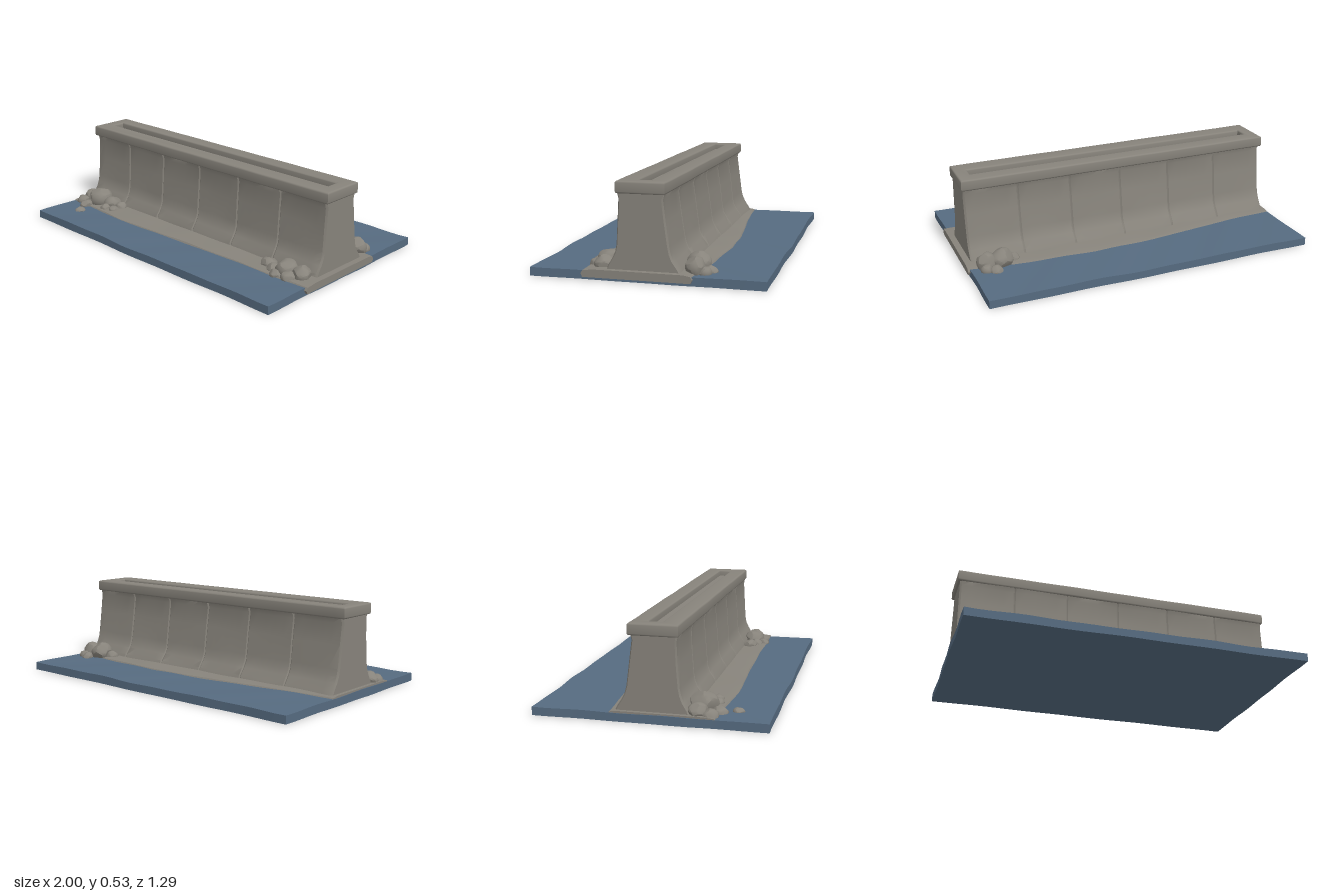
import * as THREE from 'three';
import { toCreasedNormals, mergeVertices } from 'three/addons/utils/BufferGeometryUtils.js';

const stone = new THREE.MeshStandardMaterial({ color: 0x87837b });
stone.name = 'stone';
const water = new THREE.MeshStandardMaterial({ color: 0x566b80 });
water.name = 'water';

// Gentle hand-worn unevenness
const wobble = (x, k) => Math.sin(x * 7.3 + k * 2.1) * 0.5 + Math.sin(x * 17.1 + k * 4.7) * 0.5;

function addMesh(parent, name, geometry, material) {
  const mesh = new THREE.Mesh(geometry, material);
  mesh.name = name;
  parent.add(mesh);
  return mesh;
}

// Skin rings of [z, y] points placed along x, closing both ends
function loft(xs, ringAt, crease) {
  const positions = [];
  const rings = xs.map((x, i) => ringAt(x, i).map(([z, y]) => [x, y, z]));
  const n = rings[0].length;
  const tri = (a, b, c) => positions.push(...a, ...b, ...c);
  const middle = (ring) => [0, 1, 2].map((k) => ring.reduce((s, p) => s + p[k], 0) / n);
  const first = rings[0], last = rings[rings.length - 1];
  const m0 = middle(first), m1 = middle(last);
  for (let j = 0; j < n; j++) {
    const k = (j + 1) % n;
    for (let i = 0; i < rings.length - 1; i++) {
      const a = rings[i], b = rings[i + 1];
      tri(a[j], b[j], b[k]);
      tri(a[j], b[k], a[k]);
    }
    tri(m0, first[j], first[k]);
    tri(m1, last[k], last[j]);
  }
  const g = new THREE.BufferGeometry();
  g.setAttribute('position', new THREE.Float32BufferAttribute(positions, 3));
  return toCreasedNormals(g, crease);
}

// Read a value from evenly spaced samples across x = -1..1
function sample(values, x) {
  const t = THREE.MathUtils.clamp((x + 1) / 2, 0, 1) * (values.length - 1);
  const i = Math.min(Math.floor(t), values.length - 2);
  return THREE.MathUtils.lerp(values[i], values[i + 1], t - i);
}

function waterGeometry() {
  const g = new THREE.BoxGeometry(1.98, 0.046, 1.28, 28, 1, 18);
  g.translate(-0.003, 0.023, 0);
  const p = g.attributes.position;
  for (let i = 0; i < p.count; i++) {
    const x = p.getX(i), y = p.getY(i), z = p.getZ(i);
    if (y > 0.02) p.setY(i, y + 0.003 * wobble(x + z * 0.8, 1) + 0.004 * Math.abs(x * z));
    if (Math.abs(z) > 0.6) p.setZ(i, z + 0.005 * wobble(x * 0.7, z));
    if (Math.abs(x) > 0.95) p.setX(i, x + 0.004 * wobble(z, x));
  }
  return toCreasedNormals(g, 0.6);
}

// Irregular bank of stone that the wall stands on
function bankGeometry() {
  const front = [0.365, 0.375, 0.395, 0.385, 0.37, 0.365, 0.355, 0.36, 0.35];
  const back = [-0.22, -0.235, -0.26, -0.29, -0.31, -0.32, -0.305, -0.29, -0.255];
  const xs = Array.from({ length: 41 }, (_, i) => -0.99 + i * 1.99 / 40);
  return loft(xs, (x) => {
    const f = sample(front, x) + 0.004 * wobble(x, 2);
    const b = sample(back, x) + 0.004 * wobble(x, 5);
    const h = 0.058 + 0.002 * wobble(x, 3);
    return [[f - 0.01, 0.015], [f, 0.035], [f - 0.012, 0.052], [f - 0.07, h],
      [b + 0.05, h], [b + 0.012, 0.052], [b, 0.035], [b + 0.01, 0.015]];
  }, 0.7);
}

// Tapered wall with a flared foot and shallow grooves between its six panels
function wallGeometry() {
  const profile = [[0.222, 0.04], [0.212, 0.075], [0.186, 0.115], [0.171, 0.15], [0.165, 0.19],
    [0.156, 0.32], [0.149, 0.435], [0.158, 0.47], [0.148, 0.49],
    [-0.09, 0.49], [-0.1, 0.47], [-0.09, 0.435], [-0.105, 0.32],
    [-0.122, 0.19], [-0.13, 0.15], [-0.147, 0.115], [-0.176, 0.075], [-0.192, 0.04]];
  const stations = [[-0.966, 0.008], [-0.955, 0]];
  for (let k = 0; k < 6; k++) {
    const x0 = -0.96 + k * 0.32;
    for (let s = 1; s < 5; s++) stations.push([x0 + s * 0.064, 0]);
    if (k < 5) for (const d of [-0.007, 0, 0.007]) stations.push([x0 + 0.32 + d, d === 0 ? 0.006 : 0]);
  }
  stations.push([0.952, 0], [0.963, 0.008]);
  return loft(stations.map((s) => s[0]), (x, i) => profile.map(([z, y], j) => {
    const side = Math.sign(z);
    const worn = y < 0.48 ? 0.0025 * wobble(x, j * 0.4) : 0;
    return [z - side * stations[i][1] + worn, y];
  }), 0.6);
}

// Rounded coping with a long recessed slot
function copingGeometry() {
  const outline = new THREE.Shape();
  const x0 = -0.98, x1 = 0.972, z0 = -0.107, z1 = 0.163, steps = 32;
  const at = (t) => THREE.MathUtils.lerp(x0, x1, t / steps);
  for (let i = 0; i <= steps; i++) {
    const x = at(i), y = -z1 + 0.002 * wobble(x, 6);
    if (i === 0) outline.moveTo(x, y); else outline.lineTo(x, y);
  }
  for (let i = steps; i >= 0; i--) outline.lineTo(at(i), -z0 + 0.002 * wobble(at(i), 8));
  outline.closePath();
  const slot = new THREE.Path();
  slot.moveTo(-0.905, 0.015);
  slot.lineTo(-0.905, -0.062);
  slot.lineTo(0.895, -0.062);
  slot.lineTo(0.895, 0.015);
  slot.closePath();
  outline.holes.push(slot);
  const g = new THREE.ExtrudeGeometry(outline, {
    depth: 0.046, bevelEnabled: true, bevelSize: 0.01, bevelThickness: 0.01,
    bevelOffset: -0.01, bevelSegments: 3,
  });
  g.rotateX(-Math.PI / 2);
  g.translate(0, 0.472, 0);
  return toCreasedNormals(g, 0.6);
}

// Rounded boulder with a few flattened faces
function rockGeometry(seed) {
  let state = seed * 7919 + 17;
  const random = () => (state = (state * 16807) % 2147483647) / 2147483647;
  for (let i = 0; i < 4; i++) random();
  const planes = Array.from({ length: 9 }, () =>
    new THREE.Vector3(random() - 0.5, random() - 0.3, random() - 0.5).normalize());
  let g = new THREE.IcosahedronGeometry(1, 3);
  g.deleteAttribute('normal');
  g.deleteAttribute('uv');
  g = mergeVertices(g);
  const p = g.attributes.position, v = new THREE.Vector3();
  for (let i = 0; i < p.count; i++) {
    v.fromBufferAttribute(p, i);
    for (const n of planes) {
      const over = v.dot(n) - 0.84;
      if (over > 0) v.addScaledVector(n, -over);
    }
    p.setXYZ(i, v.x, v.y, v.z);
  }
  return toCreasedNormals(g, 0.45);
}

// Each rock: x, z, radius, top height
const rockPiles = {
  frontRightRocks: [[-0.82, 0.265, 0.075, 0.145], [-0.925, 0.255, 0.055, 0.11], [-0.715, 0.255, 0.055, 0.11],
    [-0.645, 0.245, 0.04, 0.09], [-0.64, 0.305, 0.033, 0.08], [-0.935, 0.32, 0.045, 0.085],
    [-0.86, 0.36, 0.042, 0.08], [-0.71, 0.315, 0.035, 0.08], [-0.81, 0.45, 0.032, 0.066]],
  frontLeftRocks: [[0.65, 0.25, 0.048, 0.09], [0.79, 0.26, 0.062, 0.125], [0.89, 0.255, 0.052, 0.115],
    [0.715, 0.285, 0.038, 0.085], [0.84, 0.31, 0.042, 0.085], [0.765, 0.325, 0.036, 0.08]],
  backLeftRocks: [[0.8, -0.245, 0.065, 0.138], [0.89, -0.25, 0.055, 0.13], [0.73, -0.22, 0.04, 0.09],
    [0.85, -0.325, 0.035, 0.08], [0.9, -0.3, 0.036, 0.085]],
};

export function createModel() {
  const model = new THREE.Group();
  model.name = 'riverWall';
  addMesh(model, 'water', waterGeometry(), water);
  addMesh(model, 'bank', bankGeometry(), stone);
  addMesh(model, 'wall', wallGeometry(), stone);
  addMesh(model, 'coping', copingGeometry(), stone);

  let seed = 1;
  for (const [name, rocks] of Object.entries(rockPiles)) {
    const pile = new THREE.Group();
    pile.name = name;
    for (const [x, z, r, top] of rocks) {
      const rock = addMesh(pile, 'rock', rockGeometry(seed++), stone);
      const height = (top - 0.025) / 1.7;
      rock.scale.set(r * 1.06, height, r * 1.06);
      rock.position.set(x, top - height * 0.88, z);
    }
    model.add(pile);
  }
  return model;
}
